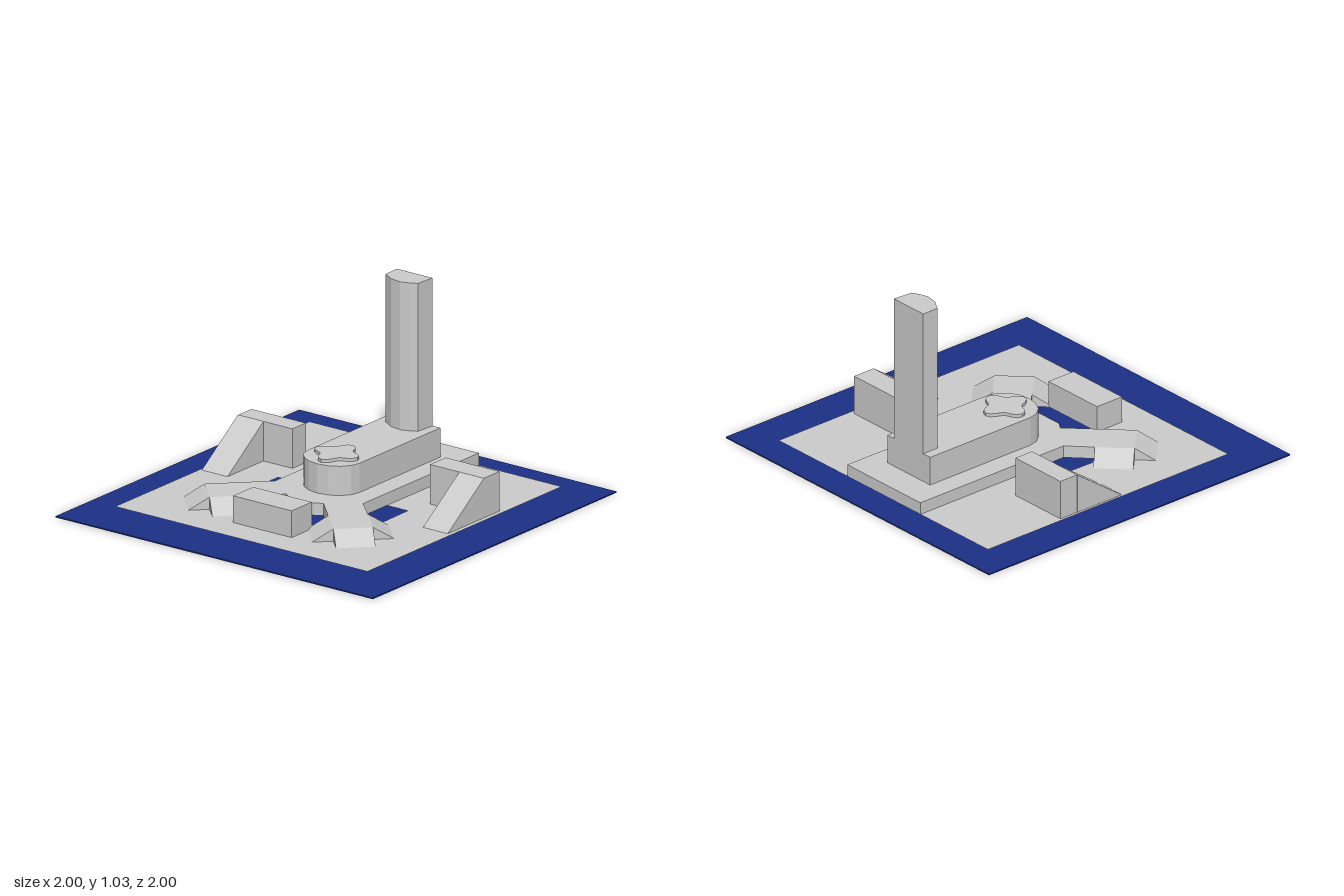
import * as THREE from 'three';

const GREY = new THREE.MeshStandardMaterial({ color: 0xcccccc, flatShading: true, side: THREE.DoubleSide });
const BLUE = new THREE.MeshStandardMaterial({ color: 0x1c2f86, flatShading: true });
const AXIS = -0.03;    // x of the complex's line of symmetry
const FLOOR = 0.025;   // height of the paved plaza
const DECK = 0.09;     // height of the podium and its bridges

export function createModel() {
  const model = new THREE.Group();

  const add = (name, geometry, material = GREY) => {
    const mesh = new THREE.Mesh(geometry, material);
    mesh.name = name;
    model.add(mesh);
    return mesh;
  };
  // Plan points are [x, z]
  const plan = (pts) => pts.map(([x, z]) => new THREE.Vector2(x, -z));
  const prism = (name, pts, y0, y1) => {
    const g = new THREE.ExtrudeGeometry(new THREE.Shape(plan(pts)), { depth: y1 - y0, bevelEnabled: false });
    return add(name, g.rotateX(-Math.PI / 2).translate(0, y0, 0));
  };
  const box = (name, x0, x1, y0, y1, z0, z1, material) =>
    add(name, new THREE.BoxGeometry(x1 - x0, y1 - y0, z1 - z0)
      .translate((x0 + x1) / 2, (y0 + y1) / 2, (z0 + z1) / 2), material);
  // Ramp falling away from (x, z) in the direction given by the angle
  const ramp = (name, x, z, angle, width, inner, run, height) => {
    const s = new THREE.Shape([[inner, 0], [inner + run, 0], [inner, height]].map((p) => new THREE.Vector2(...p)));
    const g = new THREE.ExtrudeGeometry(s, { depth: width, bevelEnabled: false });
    return add(name, g.translate(0, 0, -width / 2).rotateY(angle).translate(x, FLOOR, z));
  };
  // Right half outline given as [distance from axis, z], completed by mirroring
  const side = (pts, s) => pts.map(([d, z]) => [AXIS + s * d, z]);
  const symmetric = (pts) => [...side(pts, 1), ...side(pts, -1).reverse()];

  // Water base
  box('waterBase', -1, 1, 0, 0.007, -1, 1, BLUE);

  // Thin plaza with three pool openings
  const plaza = new THREE.Shape(plan([[-0.82, 0.745], [0.77, 0.745], [0.77, -0.85], [-0.82, -0.85]]));
  const sidePool = [[0.27, -0.095], [0.408, -0.095], [0.414, 0.17], [0.387, 0.212], [0.27, 0.115]];
  const frontPool = [[0.06, 0.235], [0.118, 0.21], [0.25, 0.345], [0.18, 0.41]];
  for (const pool of [side(sidePool, 1), side(sidePool, -1), symmetric(frontPool)]) {
    plaza.holes.push(new THREE.Path(plan(pool)));
  }
  add('plaza', new THREE.ShapeGeometry(plaza).rotateX(-Math.PI / 2).translate(0, FLOOR, 0));

  // Podium with two diagonal bridges ending in square landings
  const LX = 0.39, LZ = 0.35, R = 0.1414;
  prism('podium', symmetric([
    [0.278, -0.85], [0.278, 0.1], [LX, LZ - R], [LX + R, LZ], [LX, LZ + R], [LX - R, LZ],
    [0.118, 0.218], [0.078, 0.245],
  ]), FLOOR, DECK);

  // Three ramps down from each landing
  for (const s of [-1, 1]) {
    for (const angle of [-Math.PI / 4, -3 * Math.PI / 4, s > 0 ? Math.PI / 4 : 3 * Math.PI / 4]) {
      ramp('landingRamp', AXIS + s * LX, LZ, angle, 0.2, 0.1, 0.107, DECK - FLOOR);
    }
  }

  // Main hall with a rounded front
  const hall = [[-0.193, -0.685], [0.132, -0.685]];
  for (let i = 0; i <= 8; i++) {
    const a = (i / 8) * Math.PI;
    hall.push([AXIS + 0.1625 * Math.cos(a), -0.02 + 0.135 * Math.sin(a)]);
  }
  prism('mainHall', hall, DECK, 0.245);

  // Tower with a bowed front
  prism('tower', [[-0.14, -0.685], [0.083, -0.685], [0.075, -0.575], [0.035, -0.555],
    [-0.01, -0.54], [-0.075, -0.55], [-0.14, -0.59]], 0.245, 1.03);

  // Four-lobed roof ornament
  const lobes = [];
  for (let i = 0; i < 32; i++) {
    const a = (i / 32) * Math.PI * 2;
    const r = 0.107 + 0.024 * Math.cos(4 * a);
    lobes.push([AXIS + r * Math.cos(a), -0.045 + r * Math.sin(a)]);
  }
  prism('roofOrnament', lobes, 0.245, 0.262);

  // Front pavilion
  box('frontPavilion', -0.207, 0.162, FLOOR, 0.167, 0.41, 0.575);

  // Side halls, each with a long sloping wing to the front
  box('rightHall', -0.805, -0.463, FLOOR, 0.235, -0.355, -0.245);
  ramp('rightSlope', -0.726, -0.245, -Math.PI / 2, 0.162, 0, 0.295, 0.21);
  box('leftHall', 0.405, 0.745, FLOOR, 0.235, -0.372, -0.243);
  ramp('leftSlope', 0.668, -0.243, -Math.PI / 2, 0.155, 0, 0.297, 0.21);

  return model;
}
